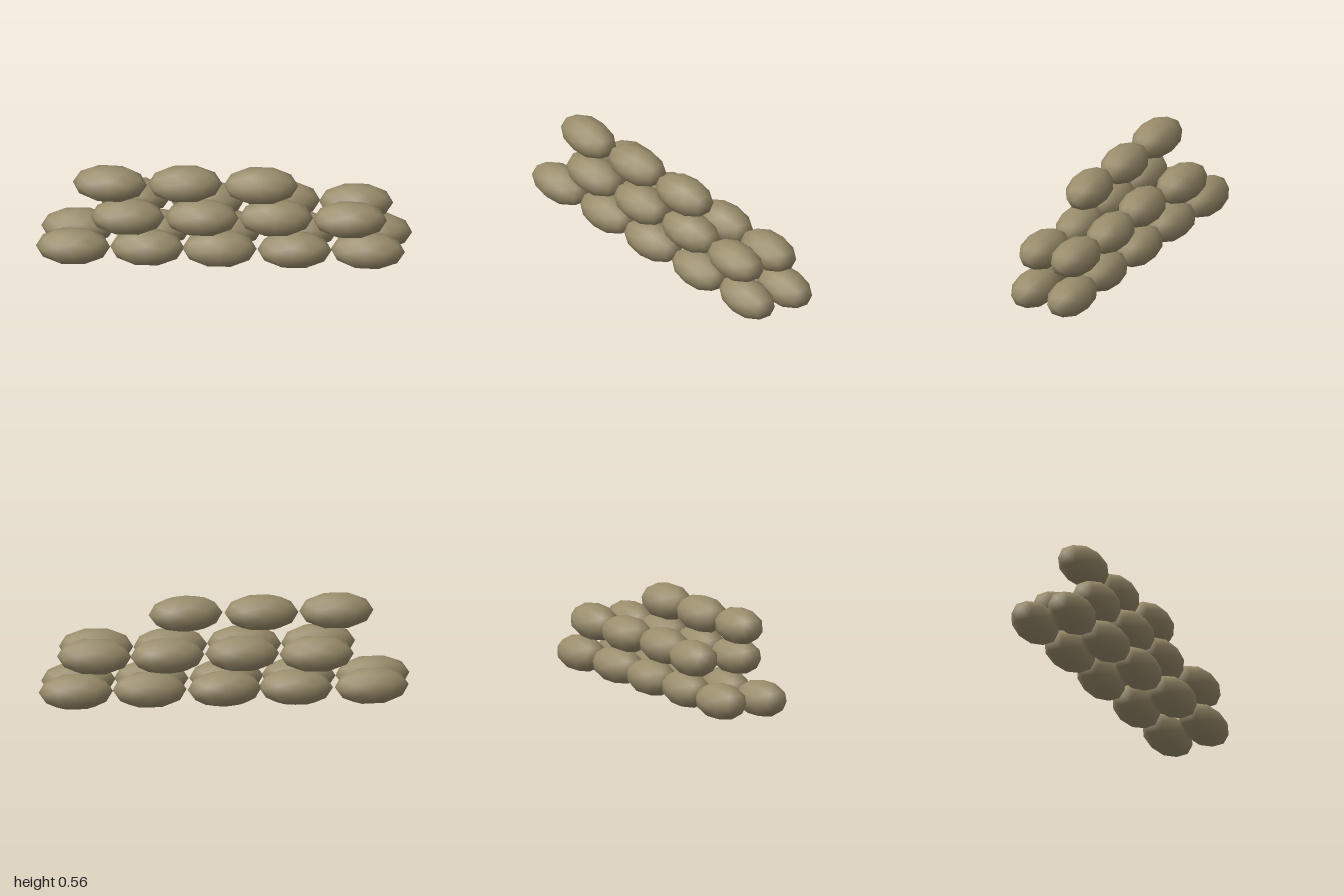
import * as THREE from 'three';

export function createModel() {
  const model = new THREE.Group();
  model.name = 'sandbagWall';
  const burlap = new THREE.MeshStandardMaterial({ color: 0x9a8d6c });
  burlap.name = 'burlap';

  // One low-poly bag with smooth normals, shared by every sandbag
  const bag = new THREE.IcosahedronGeometry(1, 1);
  bag.scale(0.198, 0.099, 0.113);

  // Rows from the ground up: height, then [x, z, yaw] of each bag
  const rows = [
    { name: 'bottomFrontBag', y: 0.102, bags: [[-0.8, 0.12, 0.03], [-0.405, 0.117, -0.04], [-0.02, 0.118, 0.03], [0.38, 0.12, -0.03], [0.77, 0.112, -0.04]] },
    { name: 'bottomBackBag', y: 0.102, bags: [[-0.78, -0.112, 0.04], [-0.375, -0.108, -0.05], [0.005, -0.112, 0.03], [0.405, -0.105, 0.04], [0.8, -0.117, -0.03]] },
    { name: 'middleFrontBag', y: 0.285, bags: [[-0.51, 0.12, 0.03], [-0.115, 0.117, -0.03], [0.28, 0.102, 0.05], [0.675, 0.113, -0.03]] },
    { name: 'middleBackBag', y: 0.287, bags: [[-0.485, -0.121, -0.05], [-0.09, -0.085, 0.03], [0.31, -0.1, 0.03], [0.7, -0.09, -0.04]] },
    { name: 'topBag', y: 0.465, bags: [[-0.605, 0.088, -0.05], [-0.205, 0.078, 0.03], [0.2, 0.082, 0.04]] },
  ];

  rows.forEach(({ name, y, bags }) => {
    bags.forEach(([x, z, yaw], i) => {
      const mesh = new THREE.Mesh(bag, burlap);
      mesh.name = name + (i + 1);
      mesh.position.set(x, y, z);
      // Slight settling so that no two neighbours lie quite alike
      mesh.rotation.set(((i % 3) - 1) * 0.06, yaw, ((i % 2) - 0.5) * 0.03);
      model.add(mesh);
    });
  });
  return model;
}
